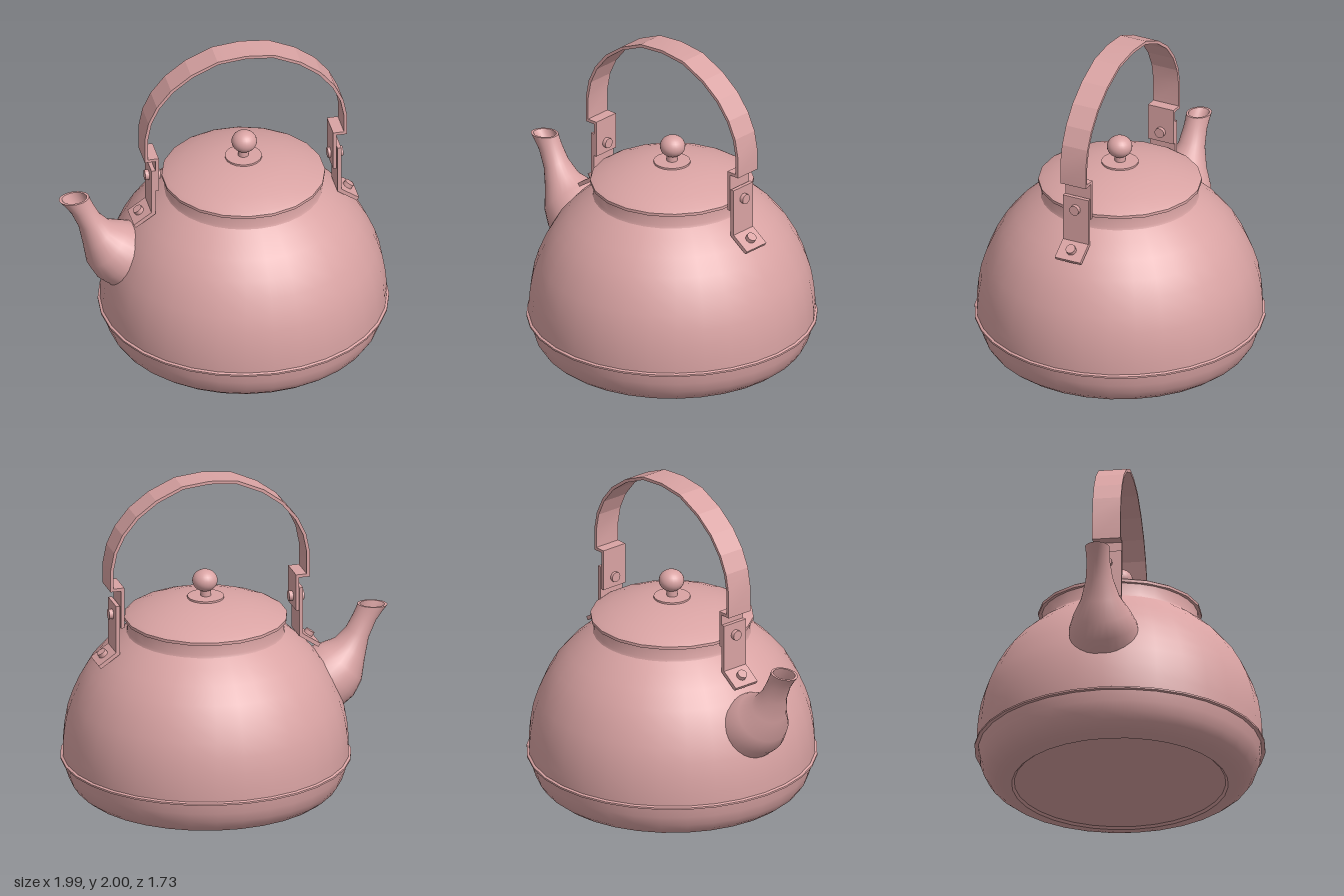
import * as THREE from 'three';
import { toCreasedNormals } from 'three/addons/utils/BufferGeometryUtils.js';

const CX = 0.123; // axis of the pot
const WIDTH = 0.17; // width of the metal straps
const material = new THREE.MeshStandardMaterial({ color: 0xd9a3a3, side: THREE.DoubleSide });

function add(parent, name, geometry, crease = 0.6) {
  const mesh = new THREE.Mesh(crease ? toCreasedNormals(geometry, crease) : geometry, material);
  mesh.name = name;
  parent.add(mesh);
  return mesh;
}

function lathe(points, sides, turn = 0) {
  const profile = points.map(([r, y]) => new THREE.Vector2(r, y));
  return new THREE.LatheGeometry(profile, sides, turn).translate(CX, 0, 0);
}

// Flat metal strip that follows a polyline in x and y, with mitred bends
function strip(path, thickness) {
  const p = path.map(([x, y]) => new THREE.Vector2(x, y));
  const near = [], far = [];
  p.forEach((point, i) => {
    const a = p[Math.max(i - 1, 0)], b = p[Math.min(i + 1, p.length - 1)];
    const d1 = (i > 0 ? point.clone().sub(a) : b.clone().sub(point)).normalize();
    const d2 = (i < p.length - 1 ? b.clone().sub(point) : d1.clone()).normalize();
    const n1 = new THREE.Vector2(-d1.y, d1.x), n2 = new THREE.Vector2(-d2.y, d2.x);
    const mitre = n1.clone().add(n2).normalize();
    mitre.multiplyScalar(thickness / 2 / mitre.dot(n1));
    near.push(point.clone().add(mitre));
    far.unshift(point.clone().sub(mitre));
  });
  const shape = new THREE.Shape([...near, ...far]);
  return new THREE.ExtrudeGeometry(shape, { depth: WIDTH, bevelEnabled: false })
    .translate(0, 0, -WIDTH / 2);
}

// Loft of elliptical rings: [left x, left y, right x, right y, half width in z]
function loft(rings, sides) {
  const position = [], index = [];
  for (const [lx, ly, rx, ry, w] of rings) {
    for (let i = 0; i < sides; i++) {
      const a = (i / sides) * Math.PI * 2, t = (1 + Math.cos(a)) / 2;
      position.push(lx + (rx - lx) * t, ly + (ry - ly) * t, w * Math.sin(a));
    }
  }
  for (let r = 0; r < rings.length - 1; r++) {
    for (let i = 0; i < sides; i++) {
      const j = (i + 1) % sides;
      const a = r * sides + i, b = r * sides + j;
      index.push(a, b, a + sides, b, b + sides, a + sides);
    }
  }
  const geometry = new THREE.BufferGeometry();
  geometry.setAttribute('position', new THREE.Float32BufferAttribute(position, 3));
  geometry.setIndex(index);
  geometry.computeVertexNormals();
  return geometry;
}

function rivet(parent, name, x, y, angle, length, radius) {
  const mesh = add(parent, name, new THREE.CylinderGeometry(radius, radius, length, 14));
  mesh.position.set(x, y, 0);
  mesh.rotation.z = angle;
}

export function createModel() {
  const kettle = new THREE.Group();
  kettle.name = 'kettle';

  // Base with a recessed bottom, seam flange, domed body and neck
  add(kettle, 'base', lathe([[0, 0.015], [0.63, 0.015], [0.645, 0.003], [0.69, 0.01], [0.74, 0.025],
    [0.785, 0.06], [0.815, 0.105], [0.835, 0.165], [0.845, 0.235]], 32));
  add(kettle, 'seam', lathe([[0.83, 0.231], [0.867, 0.231], [0.867, 0.242], [0.85, 0.25]], 32));
  add(kettle, 'body', lathe([[0.853, 0.243], [0.853, 0.32], [0.845, 0.41], [0.828, 0.51], [0.8, 0.6],
    [0.757, 0.7], [0.7, 0.8], [0.62, 0.895], [0.535, 0.972], [0.472, 1.02]], 32));
  add(kettle, 'neck', lathe([[0.472, 1.02], [0.466, 1.035], [0.466, 1.105]], 32));

  // Lid with its knob
  const lid = new THREE.Group();
  lid.name = 'lid';
  kettle.add(lid);
  add(lid, 'lidDome', lathe([[0, 1.1], [0.487, 1.104], [0.487, 1.122], [0.46, 1.138], [0.37, 1.174],
    [0.27, 1.205], [0.18, 1.223], [0.09, 1.233], [0, 1.235]], 20, Math.PI / 20));
  add(lid, 'knobPlate', lathe([[0, 1.225], [0.11, 1.225], [0.11, 1.242], [0, 1.245]], 20));
  add(lid, 'knobStem', lathe([[0.032, 1.235], [0.032, 1.3]], 16));
  const knob = add(lid, 'knob', new THREE.SphereGeometry(0.076, 24, 16), 0);
  knob.scale.y = 0.88;
  knob.position.set(CX + 0.005, 1.34, 0);

  // Spout: outer wall, rolled over the lip, then the inner wall
  add(kettle, 'spout', loft([
    [-0.69, 0.46, -0.45, 0.78, 0.21], [-0.78, 0.53, -0.52, 0.825, 0.205],
    [-0.832, 0.62, -0.6, 0.85, 0.17], [-0.855, 0.75, -0.685, 0.878, 0.115],
    [-0.882, 0.88, -0.75, 0.945, 0.082], [-0.93, 0.985, -0.79, 1.02, 0.07],
    [-0.975, 1.045, -0.808, 1.06, 0.07], [-1, 1.074, -0.818, 1.088, 0.072],
    [-0.982, 1.076, -0.833, 1.087, 0.059], [-0.915, 0.985, -0.805, 1.02, 0.057],
    [-0.867, 0.88, -0.765, 0.945, 0.067], [-0.84, 0.75, -0.7, 0.87, 0.1],
  ], 28), 0.9);

  // Arched handle whose ends step inward to the brackets
  const handle = new THREE.Group();
  handle.name = 'handle';
  kettle.add(handle);
  const half = [[0.607, 1.49], [0.585, 1.6], [0.535, 1.705], [0.45, 1.81], [0.33, 1.9], [0.17, 1.972]];
  const foot = (step) => [[0.541, 1.12], [0.541, step], [0.607, step]];
  const place = (points, side) => points.map(([x, y]) => [CX - 0.003 + side * x, y]);
  const left = place([...foot(1.366), ...half], 1);
  const right = place([...foot(1.337), ...half], -1);
  add(handle, 'strap', strip([...right, [CX - 0.003, 1.989], ...left.reverse()], 0.019), 0.2);

  // Bent brackets and their rivets on both sides
  for (const [name, side] of [['left', 1], ['right', -1]]) {
    const at = (x) => CX + side * x;
    const path = [[at(0.567), 1.262], [at(0.567), 0.962], [at(0.68), 0.884]];
    add(handle, name + 'Bracket', strip(path, 0.024), 0.2);
    rivet(handle, name + 'HingeRivet', at(0.557), 1.185, Math.PI / 2, 0.092, 0.031);
    rivet(handle, name + 'BodyRivet', at(0.631), 0.928, -side * 0.605, 0.06, 0.03);
  }

  return kettle;
}
